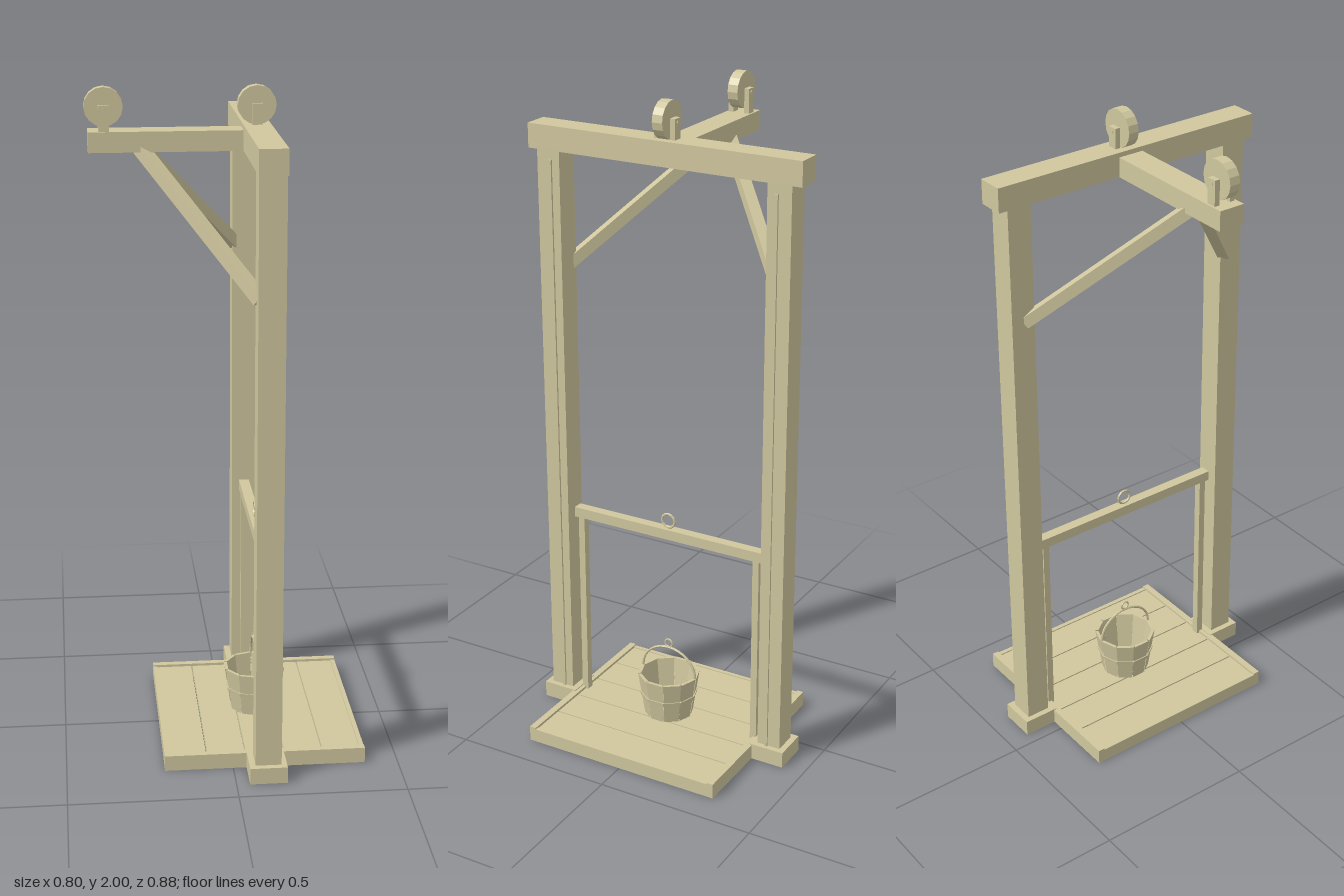
import * as THREE from 'three';

export function createModel() {
  const model = new THREE.Group();
  model.name = 'wellHoist';
  const wood = new THREE.MeshStandardMaterial({ color: 0xd0c79e, flatShading: true, side: THREE.DoubleSide });
  wood.name = 'pale wood';

  const add = (name, geometry, parent = model) => {
    const mesh = new THREE.Mesh(geometry, wood);
    mesh.name = name;
    parent.add(mesh);
    return mesh;
  };
  // box given by its limits on each axis
  const box = (name, x0, x1, y0, y1, z0, z1, parent = model) => {
    const mesh = add(name, new THREE.BoxGeometry(x1 - x0, y1 - y0, z1 - z0), parent);
    mesh.position.set((x0 + x1) / 2, (y0 + y1) / 2, (z0 + z1) / 2);
    return mesh;
  };
  // ring standing in the y-z plane
  const ring = (name, x, y, radius, tube) => {
    const mesh = add(name, new THREE.TorusGeometry(radius, tube, 6, 12));
    mesh.rotation.y = Math.PI / 2;
    mesh.position.set(x, y, 0);
  };
  const cx = 0.096; // line of the posts, lift frame and bucket

  // platform: five planks inside a rim
  const platform = new THREE.Group();
  platform.name = 'platform';
  model.add(platform);
  for (let i = 0; i < 5; i++) {
    const x = -0.193 + i * 0.1165;
    box('plank', x, x + 0.1125, 0.02, 0.04, -0.305, 0.305, platform);
  }
  box('endRim', -0.206, -0.193, 0, 0.043, -0.305, 0.305, platform);
  box('endRim', 0.386, 0.4, 0, 0.043, -0.305, 0.305, platform);

  // parts mirrored on both sides
  for (const s of [-1, 1]) {
    const side = (name, x0, x1, y0, y1, a, b, parent) =>
      box(name, x0, x1, y0, y1, Math.min(a * s, b * s), Math.max(a * s, b * s), parent);
    side('sideRim', -0.206, 0.4, 0, 0.048, 0.304, 0.325, platform);
    side('postFoot', 0.04, 0.152, 0, 0.051, 0.316, 0.43);
    side('post', 0.058, 0.135, 0.05, 1.82, 0.336, 0.411);
    side('guideStrip', 0.135, 0.141, 0.05, 1.79, 0.361, 0.371);
    side('liftUpright', cx - 0.012, cx + 0.012, 0.03, 0.655, 0.295, 0.316);

    // diagonal brace from the arm to the post
    const a = new THREE.Vector3(-0.24, 1.825, 0.016 * s);
    const b = new THREE.Vector3(0.07, 1.458, 0.36 * s);
    const brace = add('brace', new THREE.BoxGeometry(0.034, 0.034, a.distanceTo(b)));
    brace.position.copy(a).add(b).multiplyScalar(0.5);
    brace.lookAt(b);
  }

  // top beam, arm and lift crossbar
  box('topBeam', 0.054, 0.135, 1.817, 1.89, -0.441, 0.441);
  box('arm', -0.39, 0.056, 1.817, 1.876, -0.04, 0.04);
  box('liftCrossbar', cx - 0.016, cx + 0.016, 0.653, 0.685, -0.327, 0.327);
  ring('liftRing', cx, 0.709, 0.022, 0.004);

  // pulleys held in forks
  for (const [x, base] of [[-0.344, 1.876], [0.095, 1.89]]) {
    const pulley = new THREE.Group();
    pulley.name = 'pulley';
    model.add(pulley);
    const wheel = add('pulleyWheel', new THREE.CylinderGeometry(0.056, 0.056, 0.033, 16), pulley);
    wheel.rotation.x = Math.PI / 2;
    wheel.position.set(x, 1.944, 0);
    const axle = add('axle', new THREE.CylinderGeometry(0.006, 0.006, 0.072, 8), pulley);
    axle.rotation.x = Math.PI / 2;
    axle.position.set(x, 1.938, 0);
    for (const s of [-1, 1]) {
      const cheek = box('forkCheek', x - 0.015, x + 0.015, base, 1.95, 0.018, 0.034, pulley);
      cheek.position.z *= s;
    }
  }

  // bucket: ten tapered staves, two-sided hoop and floor
  const bucket = new THREE.Group();
  bucket.name = 'bucket';
  bucket.position.x = cx;
  model.add(bucket);
  const stave = [[0.066, 0.045], [0.076, 0.045], [0.097, 0.184], [0.087, 0.184], [0.066, 0.045]]
    .map(([r, y]) => new THREE.Vector2(r, y));
  const step = Math.PI / 5;
  for (let i = 0; i < 10; i++) {
    add('stave', new THREE.LatheGeometry(stave, 1, i * step + 0.02, step - 0.04), bucket);
  }
  const hoop = [[0.084, 0.108], [0.089, 0.108], [0.091, 0.12], [0.084, 0.12], [0.084, 0.108]]
    .map(([r, y]) => new THREE.Vector2(r, y));
  add('hoop', new THREE.LatheGeometry(hoop, 10), bucket);
  const floor = add('bucketFloor', new THREE.CylinderGeometry(0.07, 0.06, 0.045, 20), bucket);
  floor.position.y = 0.0405;

  // wire handle and its ring
  const arc = [];
  for (let i = 0; i <= 10; i++) {
    const t = (i / 10) * Math.PI;
    arc.push(new THREE.Vector3(0, 0.185 + 0.086 * Math.sin(t), 0.094 * Math.cos(t)));
  }
  add('handle', new THREE.TubeGeometry(new THREE.CatmullRomCurve3(arc), 16, 0.004, 6), bucket);
  ring('handleRing', cx, 0.286, 0.013, 0.003);

  return model;
}
